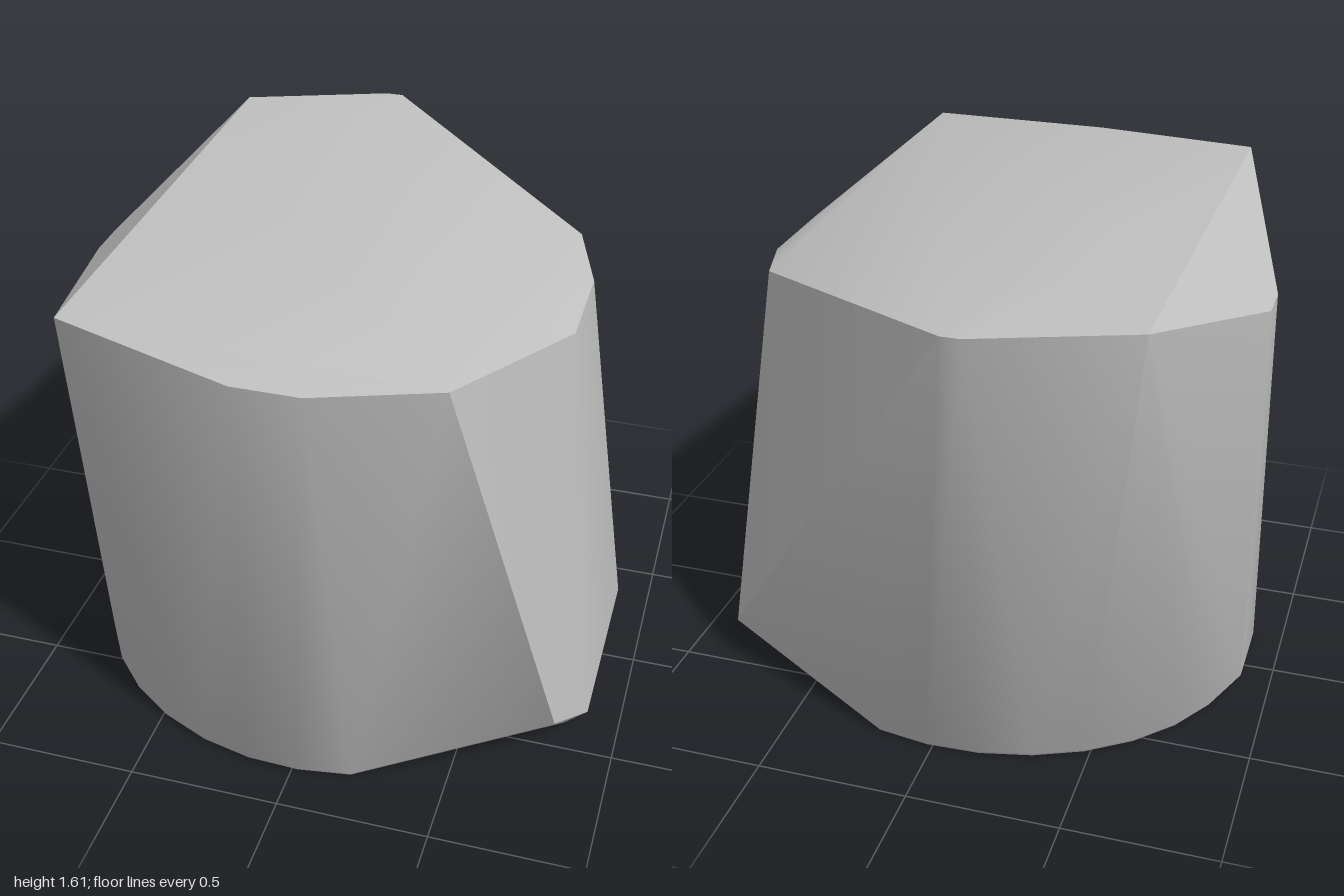
import * as THREE from 'three';
import { ConvexGeometry } from 'three/addons/geometries/ConvexGeometry.js';
import { toCreasedNormals } from 'three/addons/utils/BufferGeometryUtils.js';

export function createModel() {
  const model = new THREE.Group();
  const stone = new THREE.MeshStandardMaterial({ color: 0xc0c0c0 });
  stone.name = 'stone grey';

  // Chipped corners of the block: x, y, z
  const corners = [
    // top rim, clockwise from the back
    [-0.2, 1.6, -1], [-0.14, 1.6, -1], [0.64, 1.45, -0.38], [0.725, 1.42, -0.13],
    [0.725, 1.42, 0.21], [0.5, 1.6, 0.91], [0.12, 1.57, 1],
    [-0.09, 1.57, 1], [-0.67, 1.6, 0.84], [-0.67, 1.6, -0.825],
    // slight crown and the low left edge
    [-0.5, 1.61, -0.2], [-0.9, 1.39, -0.09], [-0.9, 1.39, 0.05],
    // chamfer along the lower right
    [0.81, 0.155, -0.47], [0.895, 0.07, -0.29], [0.895, 0.07, 0.38], [0.81, 0.155, 0.555],
    // straight side of the base
    [0.82, 0, -0.28], [0.82, 0, 0.38],
    // left foot
    [-0.9, 0.02, -0.09], [-0.9, 0.02, 0.18],
  ];

  // Rounded half of the base, with a thin bevel
  for (const [y, grow] of [[0, -0.01], [0.015, 0]]) {
    for (let i = 0; i <= 18; i++) {
      const a = THREE.MathUtils.degToRad(75 + (i * 210) / 18);
      corners.push([-0.03 + (0.87 + grow) * Math.cos(a), y, 0.05 + (0.8 + grow) * Math.sin(a)]);
    }
  }

  const hull = new ConvexGeometry(corners.map((c) => new THREE.Vector3(...c)));
  const rock = new THREE.Mesh(toCreasedNormals(hull, 0.68), stone);
  rock.name = 'rock';
  model.add(rock);
  return model;
}
